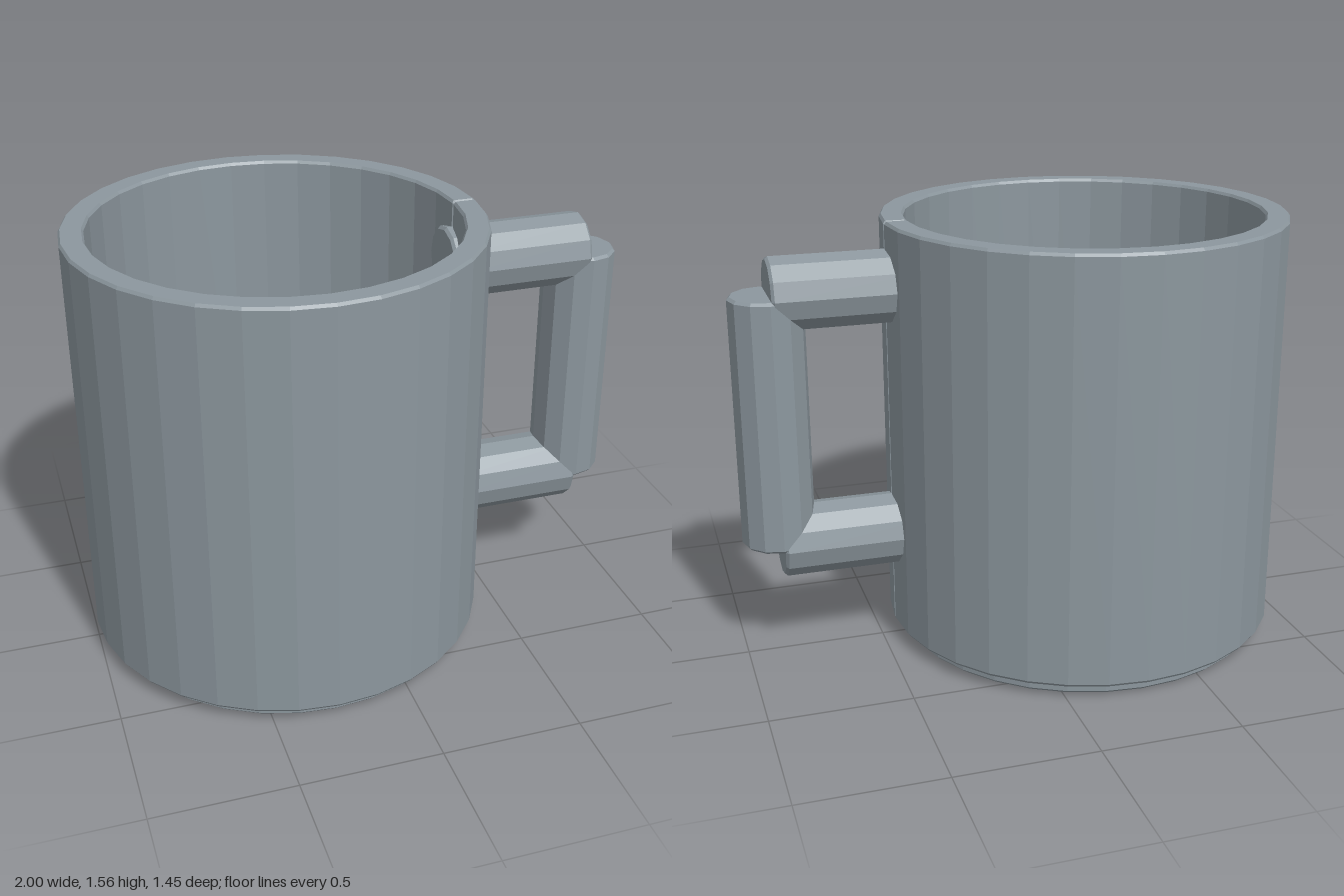
import * as THREE from 'three';

const CUP_X = -0.275;
const BEVEL = 0.01;

// Faceted round bar along y, from 0 to length, with bevelled ends
function bar(radius, length, sides) {
  const profile = [
    [0, 0], [radius - BEVEL, 0], [radius, BEVEL],
    [radius, length - BEVEL], [radius - BEVEL, length], [0, length],
  ].map(([x, y]) => new THREE.Vector2(x, y));
  const geometry = new THREE.LatheGeometry(profile, sides).toNonIndexed();
  geometry.computeVertexNormals();
  return geometry;
}

// Ring wall bent round until its two ends meet in a fine grooved seam at +x
function wallGeometry(outer, inner, height) {
  const groove = 0.006, gap = 0.001;
  const ao = groove / outer, ai = groove / inner;
  const shape = new THREE.Shape();
  shape.absarc(0, 0, outer, ao, Math.PI * 2 - ao, false);
  shape.lineTo(outer - BEVEL, -gap);
  shape.lineTo(inner + BEVEL, -gap);
  shape.absarc(0, 0, inner, Math.PI * 2 - ai, ai, true);
  shape.lineTo(inner + BEVEL, gap);
  shape.lineTo(outer - BEVEL, gap);
  shape.closePath();
  const geometry = new THREE.ExtrudeGeometry(shape, {
    depth: height - 2 * BEVEL,
    curveSegments: 16,
    bevelThickness: BEVEL,
    bevelSize: BEVEL * 0.7,
    bevelOffset: -BEVEL * 0.7,
    bevelSegments: 1,
  });
  return geometry.translate(0, 0, BEVEL).rotateX(-Math.PI / 2);
}

export function createModel() {
  const model = new THREE.Group();
  model.name = 'mug';
  const grey = new THREE.MeshStandardMaterial({ color: 0x8c979e });
  grey.name = 'blue grey';

  function add(name, geometry, x, y, z = 0) {
    const mesh = new THREE.Mesh(geometry, grey);
    mesh.name = name;
    mesh.position.set(x, y, z);
    model.add(mesh);
    return mesh;
  }

  // Cup
  add('wall', wallGeometry(0.725, 0.64, 1.51), CUP_X, 0.05);
  add('base', bar(0.68, 0.1, 32), CUP_X, 0);

  // Handle: two pegs through the wall and an upright grip
  const radius = 0.131;
  for (const [name, y] of [['upperPeg', 1.335], ['lowerPeg', 0.43]]) {
    add(name, bar(radius, 0.525, 12).rotateZ(-Math.PI / 2), 0.335, y);
  }
  add('grip', bar(radius, 0.905, 12), 0.865, 0.43);

  return model;
}
